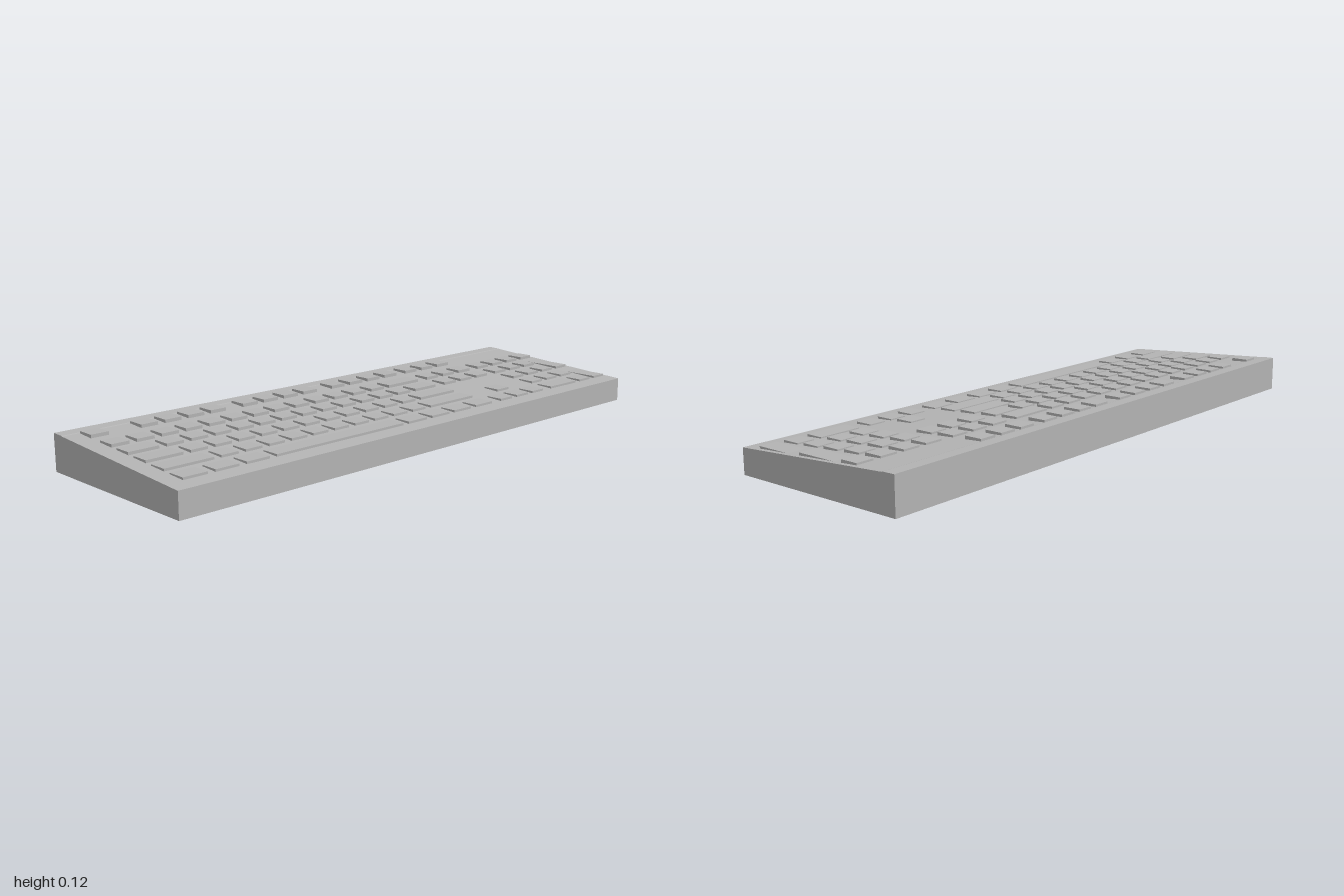
import * as THREE from 'three';

const U = 0.0868;      // key pitch
const GAP = 0.026;     // space between neighbouring keys
const LEFT = -0.942;   // left edge of the key field

// Rows from back to front: centre z, flat top height, and runs of [start, ...key widths] in pitches
const ones = (n) => Array(n).fill(1);
const ROWS = [
  { name: 'function', z: -0.2325, top: 0.1245,
    runs: [[0, 1], [2, ...ones(4)], [6.5, ...ones(4)], [11, ...ones(4)], [15.25, ...ones(3)]] },
  { name: 'number', z: -0.1235, top: 0.117,
    runs: [[0, ...ones(13), 2], [15.25, ...ones(3)], [18.5, ...ones(4)]] },
  { name: 'upperLetter', z: -0.037, top: 0.1112,
    runs: [[0, 1.5, ...ones(12), 1.5], [15.25, ...ones(3)], [18.5, ...ones(3)]] },
  { name: 'middleLetter', z: 0.05, top: 0.1053,
    runs: [[0, 1.75, ...ones(11), 2.25], [18.5, ...ones(3)]], tall: 21.5 },
  { name: 'lowerLetter', z: 0.1365, top: 0.0992,
    runs: [[0, 2.25, ...ones(10), 2.75], [16.25, 1], [18.5, ...ones(3)]] },
  { name: 'bottom', z: 0.2235, top: 0.0937,
    runs: [[0, 1.25, 1.25, 1.25, 6.25, 1.25, 1.25, 1.25, 1.25], [15.25, ...ones(3)], [18.5, 2, 1]], tall: 21.5 },
];

export function createModel() {
  const model = new THREE.Group();
  model.name = 'keyboard';
  const grey = new THREE.MeshStandardMaterial({ color: 0xb3b3b3 });
  grey.name = 'grey plastic';

  // Wedge case: side profile (z, y) extruded across the width
  const profile = new THREE.Shape([
    [-0.313, 0], [0.313, 0], [0.313, 0.0827], [-0.265, 0.1175], [-0.27, 0.119], [-0.313, 0.12],
  ].map(([z, y]) => new THREE.Vector2(-z, y)));
  const caseGeo = new THREE.ExtrudeGeometry(profile, { depth: 2, bevelEnabled: false });
  caseGeo.translate(0, 0, -1).rotateY(Math.PI / 2);
  const body = new THREE.Mesh(caseGeo, grey);
  body.name = 'case';
  model.add(body);

  // One key, sunk into the case; rows > 1 extends it towards the back
  function addKey(parent, name, start, width, z, top, rows = 1) {
    const w = width * U - GAP;
    const d = rows * U - GAP;
    const h = 0.025;
    const key = new THREE.Mesh(new THREE.BoxGeometry(w, h, d), grey);
    key.position.set(LEFT + start * U + w / 2, top - h / 2, z - (rows - 1) * U / 2);
    key.name = name;
    parent.add(key);
  }

  for (const { name, z, top, runs, tall } of ROWS) {
    const row = new THREE.Group();
    row.name = name + 'Row';
    for (const [start, ...widths] of runs) {
      let u = start;
      for (const w of widths) {
        addKey(row, w > 6 ? 'spaceBar' : 'key', u, w, z, top);
        u += w;
      }
    }
    if (tall) addKey(row, 'tallKey', tall, 1, z, top, 2);
    model.add(row);
  }
  return model;
}
